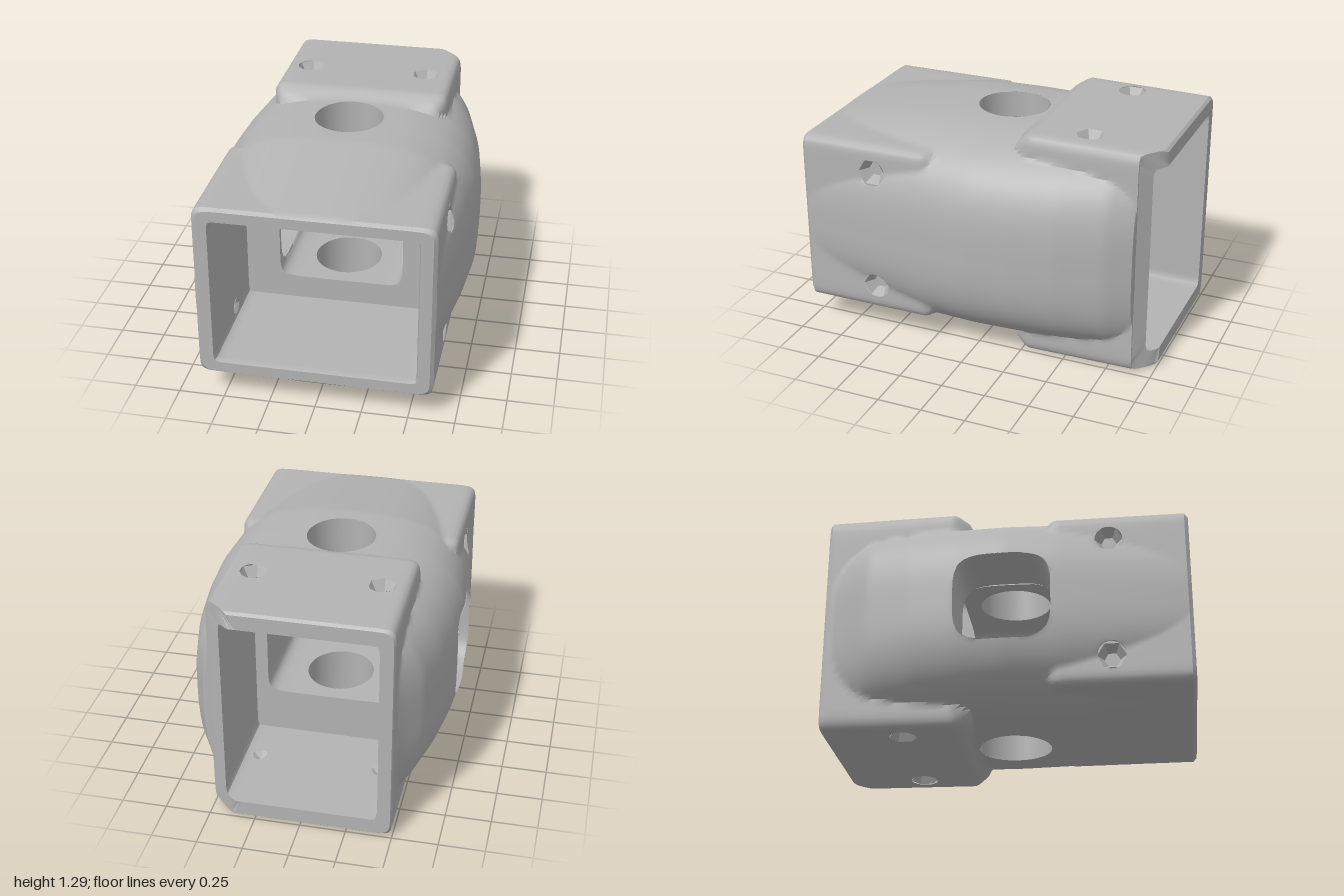
import * as THREE from 'three';
import { toCreasedNormals } from 'three/addons/utils/BufferGeometryUtils.js';

const CY = 0.65;      // height of the long axis
const SIDES = 240;    // samples around each cross-section
const STEP = 0.025;   // spacing of cross-sections
const END = 0.29;     // half length of the middle tunnel

const clamp01 = (t) => Math.min(1, Math.max(0, t));
const mix = THREE.MathUtils.lerp;

// Linear lookup in a short list of [z, value], z falling
function lookup(list, z) {
  for (let i = 1; i < list.length; i++) {
    const [z0, v0] = list[i - 1], [z1, v1] = list[i];
    if (z >= z1) return mix(v0, v1, clamp01((z0 - z) / (z0 - z1)));
  }
  return list[list.length - 1][1];
}

// Polar radius of a superellipse; a high power gives a rounded rectangle
const sup = (a, b, n, t) =>
  (Math.abs(Math.cos(t) / a) ** n + Math.abs(Math.sin(t) / b) ** n) ** (-1 / n);

// Swollen body: half width and half height along z
const bodyW = (z) => lookup([[1, 0.63], [0.27, 0.71], [0, 0.73], [-0.25, 0.715],
  [-0.5, 0.68], [-0.75, 0.615], [-0.88, 0.54], [-1, 0.48]], z);
const bodyH = (z) => lookup([[1, 0.5], [0.3, 0.6], [-1, 0.6]], z);

// Outer section: swollen body joined with a wide front box and a tall rear box
function outer(t, z) {
  let r = sup(bodyW(z), bodyH(z), 3, t);
  const front = clamp01((z - 0.18) / 0.09);
  if (front > 0) r = Math.max(r, sup(0.63, 0.5, 24, t) * mix(0.9, 1, front));
  const rear = clamp01((-0.2 - z) / 0.08);
  if (rear > 0) {
    r = Math.max(r, sup(0.5, mix(0.645, 0.635, clamp01((-0.3 - z) / 0.7)), 24, t) * mix(0.92, 1, rear));
  }
  return r;
}
const frontBox = (t) => sup(0.54, 0.42, 40, t);
const rearBox = (t) => sup(0.42, 0.54, 40, t);
const tunnelBox = (t) => sup(0.35, 0.285, 10, t);

// Openings: axis and side they pierce, centre (u along x or y, and z), half sizes
const bolts = [];
for (const side of [-1, 1]) for (const k of [-1, 1]) {
  bolts.push({ axis: 'x', side, u: 0.345 * k, z: 0.57, bolt: true });
  bolts.push({ axis: 'y', side, u: 0.34 * k - 0.01, z: -0.57, bolt: true });
}
const ports = [
  { axis: 'y', side: 1, u: -0.01, z: 0, a: 0.19, b: 0.2, n: 2 },
  { axis: 'y', side: -1, u: -0.01, z: 0, a: 0.19, b: 0.2, n: 2 },
  { axis: 'x', side: -1, u: 0, z: 0, a: 0.25, b: 0.26, n: 4 },
];
const holes = [...bolts, ...ports];

// Moves a point inside an opening out to its edge; tells whether it was inside
function snap(p, boltR) {
  for (const h of holes) {
    if (p[h.axis] * h.side < 0.25) continue;
    const other = h.axis === 'x' ? 'y' : 'x';
    const du = p[other] - h.u, dz = p.z - h.z;
    const t = Math.atan2(dz, du);
    const r = h.bolt ? boltR : sup(h.a, h.b, h.n, t);
    if (Math.hypot(du, dz) < r) {
      p[other] = h.u + r * Math.cos(t);
      p.z = h.z + r * Math.sin(t);
      return true;
    }
  }
  return false;
}

// Surface through rows of points, each row a closed loop; open cells are left out
function loft(rows, inside) {
  const pos = [], index = [], n = rows[0].length;
  rows.forEach((row) => row.forEach((p) => pos.push(p.x, p.y + CY, p.z)));
  for (let j = 0; j < rows.length - 1; j++) for (let i = 0; i < n; i++) {
    const k = (i + 1) % n;
    const a = j * n + i, b = j * n + k, c = a + n, d = b + n;
    if (inside && inside[a] && inside[b] && inside[c] && inside[d]) continue;
    index.push(a, b, c, b, d, c);
  }
  const g = new THREE.BufferGeometry();
  g.setAttribute('position', new THREE.Float32BufferAttribute(pos, 3));
  g.setIndex(index);
  return toCreasedNormals(g, 0.6);
}

// Skin through stations [z, section, scale]
function skin(stations, boltR) {
  const inside = [];
  const rows = stations.map(([z, section, scale = 1]) => {
    const row = [];
    for (let i = 0; i < SIDES; i++) {
      const t = (i / SIDES) * Math.PI * 2, r = section(t, z) * scale;
      const p = new THREE.Vector3(r * Math.cos(t), r * Math.sin(t), z);
      // the rear mouth is cut back on one side
      p.z = Math.max(z, -1 + 0.11 * clamp01((p.x - 0.36) / 0.12));
      inside.push(snap(p, boltR));
      row.push(p);
    }
    return row;
  });
  return loft(rows, inside);
}

// Evenly spaced stations from z0 to z1
function run(z0, z1, section) {
  const n = Math.round(Math.abs(z1 - z0) / STEP), list = [];
  for (let i = 0; i <= n; i++) list.push([mix(z0, z1, i / n), section]);
  return list;
}

export function createModel() {
  const group = new THREE.Group();
  const grey = new THREE.MeshStandardMaterial({ color: 0xb3b3b3, side: THREE.DoubleSide });
  grey.name = 'plain grey';
  const add = (name, geometry) => {
    const mesh = new THREE.Mesh(geometry, grey);
    mesh.name = name;
    group.add(mesh);
    return mesh;
  };

  // Outer shell with bevelled ends and both rims
  add('outerShell', skin([
    [-1, rearBox], [-1, outer, 0.98], ...run(-0.985, 0.98, outer),
    [1, outer, 0.97], [1, frontBox, 1.015],
  ], 0.075));

  // Sockets with their end walls, and the tunnel between them
  add('frontSocket', skin([[1, frontBox, 1.015], ...run(0.98, END, frontBox), [END, tunnelBox]], 0.045));
  add('middleTunnel', skin(run(END, -END, tunnelBox), 0.045));
  add('rearSocket', skin([[-END, tunnelBox], ...run(-END, -1, rearBox)], 0.045));

  // Walls of the round ports and the side window
  for (const h of ports) {
    const rows = [[], []];
    for (let i = 0; i < 48; i++) {
      const t = (i / 48) * Math.PI * 2, r = sup(h.a, h.b, h.n, t);
      const u = h.u + r * Math.cos(t), z = h.z + r * Math.sin(t);
      const w = bodyW(z), b = bodyH(z);
      const [near, far, across] = h.axis === 'y' ? [0.285, b, w] : [0.35, w, b];
      const top = far * (1 - Math.abs(u / across) ** 3) ** (1 / 3);
      [near, top].forEach((d, j) => rows[j].push(h.axis === 'y'
        ? new THREE.Vector3(u, d * h.side, z)
        : new THREE.Vector3(d * h.side, u, z)));
    }
    add(h.axis === 'y' ? 'roundPortWall' : 'sideWindowWall', loft(rows));
  }

  // Countersunk bolt holes
  const profile = [[0.05, -0.095], [0, -0.06], [0.042, -0.06], [0.078, 0]]
    .map(([x, y]) => new THREE.Vector2(x, y));
  const boltGeometry = toCreasedNormals(new THREE.LatheGeometry(profile, 6), 0.3);
  for (const h of bolts) {
    const mesh = add('boltHole', boltGeometry);
    if (h.axis === 'y') {
      mesh.position.set(h.u, CY + 0.638 * h.side, h.z);
      if (h.side < 0) mesh.rotation.x = Math.PI;
    } else {
      mesh.position.set(0.63 * h.side, CY + h.u, h.z);
      mesh.rotation.z = -h.side * Math.PI / 2;
    }
  }
  return group;
}
